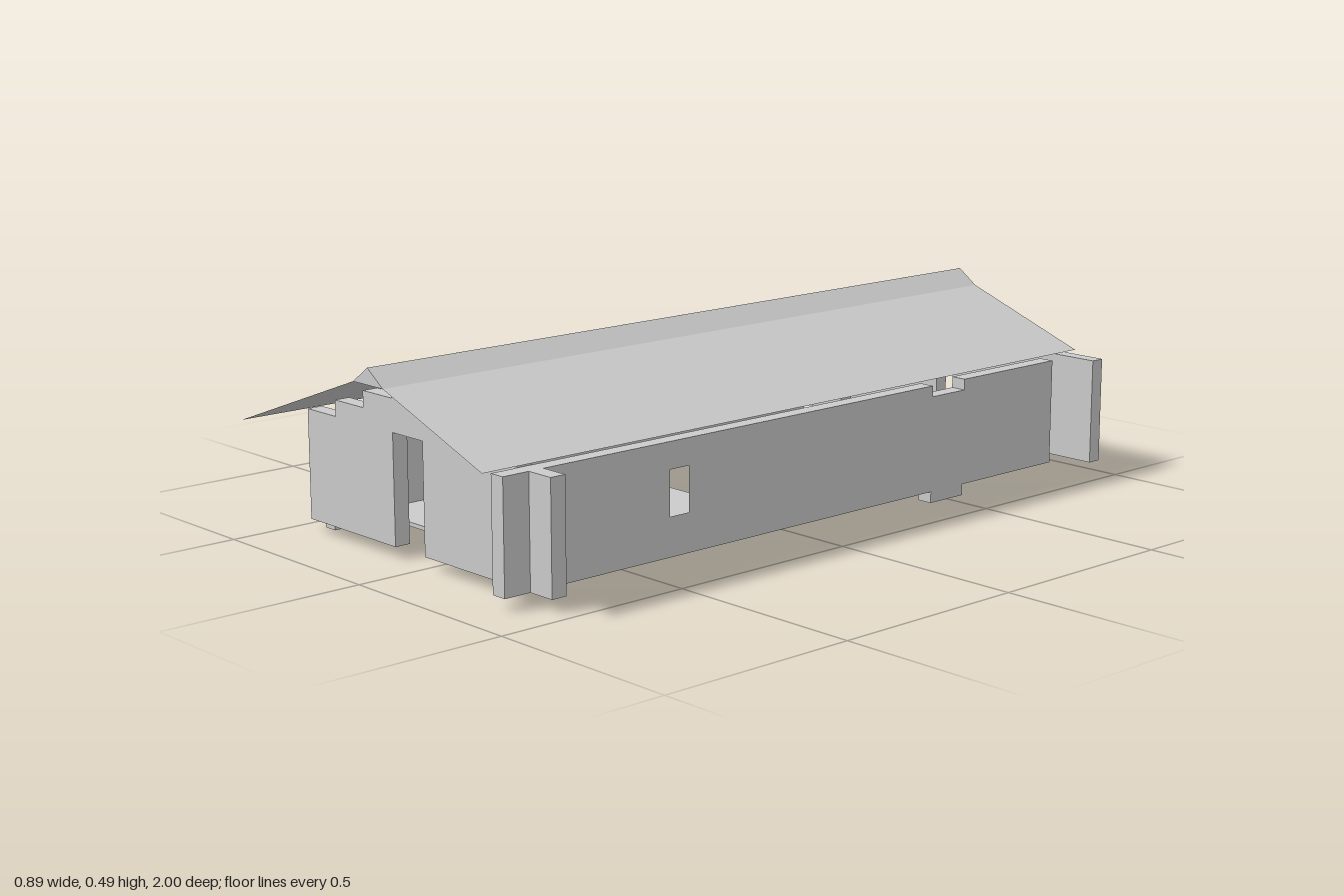
import * as THREE from 'three';

const material = new THREE.MeshStandardMaterial({ color: 0xcccccc, flatShading: true });
const sheetMaterial = new THREE.MeshStandardMaterial({ color: 0xcccccc, flatShading: true, side: THREE.DoubleSide });

function shapeOf(points) {
  return new THREE.Shape(points.map(([a, b]) => new THREE.Vector2(a, b)));
}

function rect(a0, b0, a1, b1) {
  return [[a0, b0], [a1, b0], [a1, b1], [a0, b1]];
}

export function createModel() {
  const group = new THREE.Group();

  const add = (name, geometry, mat = material) => {
    const mesh = new THREE.Mesh(geometry, mat);
    mesh.name = name;
    group.add(mesh);
    return mesh;
  };

  // Upright slab across x, outline in (x, y), between z0 and z1
  const crossWall = (name, outline, z0, z1, hole) => {
    const shape = shapeOf(outline);
    if (hole) shape.holes.push(shapeOf(hole));
    const g = new THREE.ExtrudeGeometry(shape, { depth: z1 - z0, bevelEnabled: false });
    return add(name, g.translate(0, 0, z0));
  };

  // Upright slab along z, outline in (z, y), between x0 and x1
  const sideWall = (name, outline, x0, x1, hole) => {
    const flip = (pts) => pts.map(([z, y]) => [-z, y]);
    const shape = shapeOf(flip(outline));
    if (hole) shape.holes.push(shapeOf(flip(hole)));
    const g = new THREE.ExtrudeGeometry(shape, { depth: x1 - x0, bevelEnabled: false });
    return add(name, g.rotateY(Math.PI / 2).translate(x0, 0, 0));
  };

  // Horizontal panel, outline in (x, z), between y0 and y1
  const floorPanel = (name, outline, y0, y1) => {
    const shape = shapeOf(outline.map(([x, z]) => [x, -z]));
    const g = new THREE.ExtrudeGeometry(shape, { depth: y1 - y0, bevelEnabled: false });
    return add(name, g.rotateX(-Math.PI / 2).translate(0, y0, 0));
  };

  // Front wall with stepped gable and door opening
  crossWall('frontWall', [
    [-0.445, 0.028], [-0.111, 0.028], [-0.111, 0.294], [0, 0.294], [0, 0.028], [0.445, 0.028],
    [0.445, 0.294], [0.333, 0.294], [0.333, 0.333], [0.222, 0.333], [0.222, 0.373],
    [0.111, 0.373], [0.111, 0.413], [-0.111, 0.413], [-0.111, 0.373], [-0.222, 0.373],
    [-0.222, 0.333], [-0.333, 0.333], [-0.333, 0.294], [-0.445, 0.294],
  ], 0.78, 0.82);

  // Free-standing back wall with a window
  crossWall('backWall', rect(-0.445, 0.028, 0.445, 0.294), -1, -0.963,
    rect(-0.085, 0.122, -0.028, 0.228));

  // Left wall: window, plus one section set lower than the rest
  sideWall('leftWall', [
    [-0.89, 0.028], [-0.555, 0.028], [-0.555, 0], [-0.44, 0], [-0.44, 0.028], [0.89, 0.028],
    [0.89, 0.294], [-0.44, 0.294], [-0.44, 0.267], [-0.555, 0.267], [-0.555, 0.294], [-0.89, 0.294],
  ], 0.333, 0.373, rect(0.363, 0.122, 0.42, 0.23));

  // Right wall, plain and set lower
  sideWall('rightWall', rect(-0.78, 0, 0.78, 0.267), -0.445, -0.407);

  // Short wall at the back right corner
  crossWall('cornerPost', rect(-0.445, 0, -0.335, 0.333), -0.89, -0.852);

  // Floor panels
  floorPanel('frontFloor', rect(-0.407, 0, 0.222, 0.667), 0.018, 0.028);
  floorPanel('backFloor', [
    [0, -0.333], [0, -0.89], [-0.111, -0.89], [-0.111, -0.444], [-0.333, -0.444], [-0.333, -0.333],
  ], 0.018, 0.028);

  // Roof sheets: flat outlines in (x, z) lifted to the slope
  const roofSheet = (name, outline, heightAt) => {
    const g = new THREE.ShapeGeometry(shapeOf(outline.map(([x, z]) => [x, -z])));
    g.rotateX(-Math.PI / 2);
    const p = g.attributes.position;
    for (let i = 0; i < p.count; i++) p.setY(i, heightAt(p.getX(i)));
    g.computeVertexNormals();
    add(name, g, sheetMaterial);
  };
  roofSheet('roofRight', [
    [-0.445, 1], [0, 1], [0, -0.89], [-0.222, -0.89], [-0.222, -0.78],
    [-0.335, -0.78], [-0.335, -0.89], [-0.445, -0.89],
  ], (x) => 0.455 + 0.36 * x);
  roofSheet('roofLeft', rect(0.108, -0.89, 0.445, 1), (x) => 0.455 - 0.362 * (x - 0.108));
  roofSheet('ridgeRight', rect(0, -0.89, 0.054, 1), (x) => 0.455 + 0.704 * x);
  roofSheet('ridgeLeft', rect(0.054, -0.89, 0.108, 1), (x) => 0.493 - 0.704 * (x - 0.054));

  // Small triangles closing the ridge ends
  for (const [name, z] of [['ridgeEndFront', 1], ['ridgeEndBack', -0.89]]) {
    const g = new THREE.ShapeGeometry(shapeOf([[0, 0.455], [0.108, 0.455], [0.054, 0.493]]));
    add(name, g.translate(0, 0, z), sheetMaterial);
  }

  return group;
}
